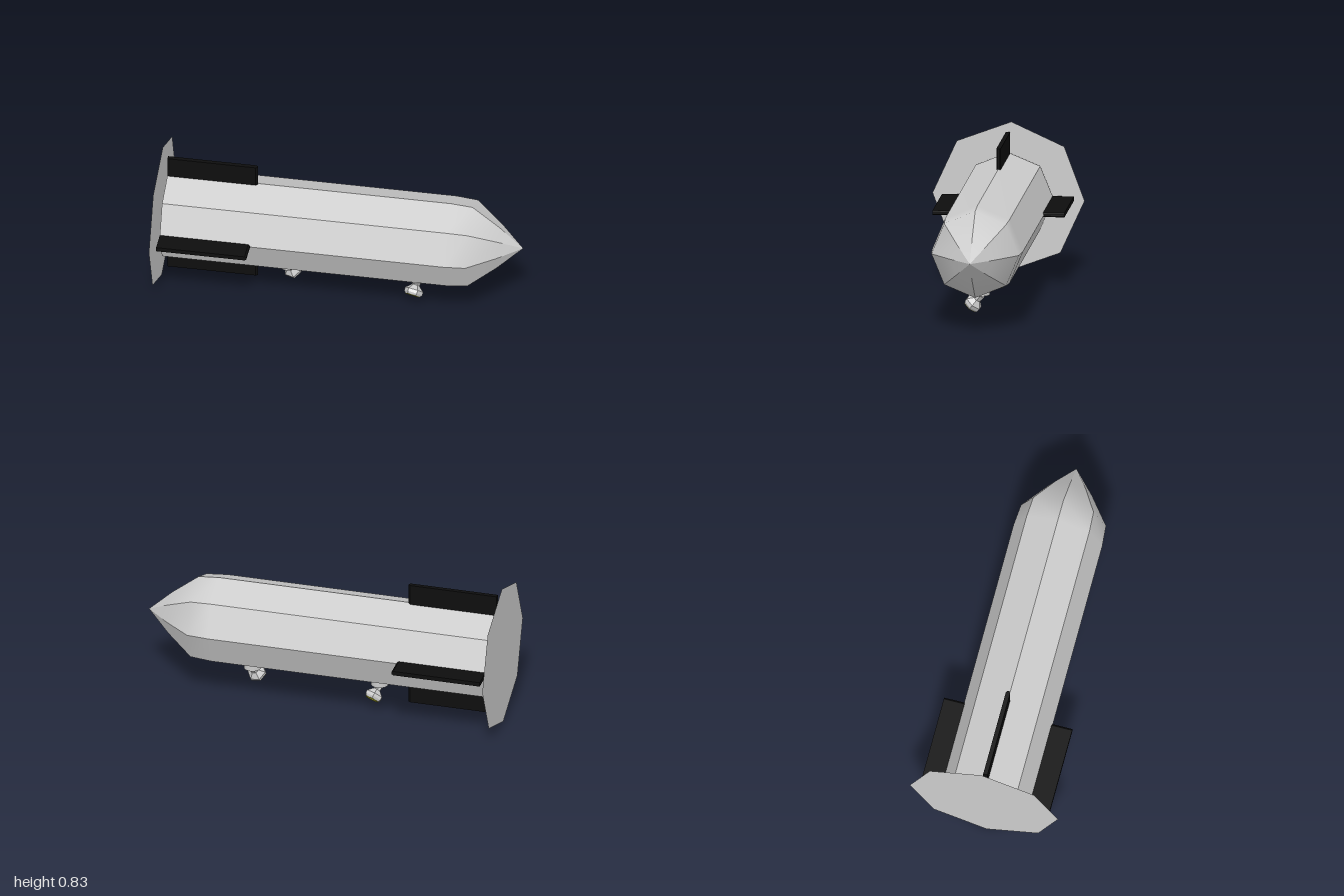
import * as THREE from 'three';

const AXIS_Y = 0.42;

export function createModel() {
  const model = new THREE.Group();
  const hull = new THREE.MeshStandardMaterial({ color: 0xcccccc, side: THREE.DoubleSide });
  hull.name = 'hullGrey';
  const hullFlat = hull.clone();
  hullFlat.flatShading = true;
  const black = new THREE.MeshStandardMaterial({ color: 0x0d0d0d, flatShading: true });
  black.name = 'finBlack';
  const yellow = new THREE.MeshStandardMaterial({ color: 0xbcbc28, side: THREE.DoubleSide });
  yellow.name = 'lampYellow';

  const add = (parent, name, geometry, material) => {
    const mesh = new THREE.Mesh(geometry, material);
    mesh.name = name;
    parent.add(mesh);
    return mesh;
  };

  // Eight hull panels: smooth along the length, creased between panels
  const profile = [[-0.97, 0.25], [0.6, 0.25], [0.72, 0.24], [0.87, 0.122], [1, 0.0005]];
  const body = new THREE.Group();
  body.name = 'body';
  body.position.y = AXIS_Y;
  model.add(body);
  for (let i = 0; i < 8; i++) {
    const positions = [], index = [];
    profile.forEach(([x, r], row) => {
      for (const k of [i, i + 1]) {
        const a = k * Math.PI / 4;
        positions.push(x, r * Math.cos(a), r * Math.sin(a));
      }
      if (row > 0) {
        const b = row * 2;
        index.push(b - 2, b, b - 1, b - 1, b, b + 1);
      }
    });
    const g = new THREE.BufferGeometry();
    g.setAttribute('position', new THREE.Float32BufferAttribute(positions, 3));
    // Wind the faces so that they look outward
    for (let t = 0; t < index.length; t += 3) [index[t + 1], index[t + 2]] = [index[t + 2], index[t + 1]];
    g.setIndex(index);
    g.computeVertexNormals();
    const n = g.attributes.normal, mid = (i + 0.5) * Math.PI / 4;
    if (n.getY(0) * Math.cos(mid) + n.getZ(0) * Math.sin(mid) < 0) {
      g.setIndex(index.reverse());
      g.computeVertexNormals();
    }
    add(body, 'hullPanel', g, hull);
  }

  // Rear cap of the hull, with a corner at the top
  const cap = add(body, 'rearCap', new THREE.CircleGeometry(0.25, 8), hullFlat);
  cap.rotation.y = -Math.PI / 2;
  cap.position.x = -0.97;

  // Thin octagonal tail plate, turned slightly
  const plate = add(model, 'tailPlate',
    new THREE.CircleGeometry(0.4175, 8, Math.PI / 2 + 0.036).rotateY(-Math.PI / 2), hullFlat);
  plate.position.set(-1, 0.4175, 0);

  // Two crossing fin plates with chamfered leading edges
  const section = new THREE.Shape([[-0.97, -0.012], [-0.48, -0.012], [-0.47, -0.005],
    [-0.47, 0.005], [-0.48, 0.012], [-0.97, 0.012]].map(([x, y]) => new THREE.Vector2(x, y)));
  const finGeometry = new THREE.ExtrudeGeometry(section, { depth: 0.724, bevelEnabled: false });
  finGeometry.translate(0, 0, -0.362);
  for (const [name, turn] of [['sideFins', 0], ['verticalFins', Math.PI / 2]]) {
    const fin = add(model, name, finGeometry, black);
    fin.position.y = AXIS_Y;
    fin.rotation.x = turn;
  }

  // Swivelling searchlights under the hull
  const lampProfile = [[0, 0], [0.025, 0], [0.022, 0.035], [0.052, 0.062], [0.052, 0.08], [0.043, 0.092], [0, 0.092]]
    .map(([r, y]) => new THREE.Vector2(r, y));
  const addLamp = (name, x, direction) => {
    const lamp = new THREE.Group();
    lamp.name = name;
    lamp.position.set(x, 0.14, 0);
    model.add(lamp);
    const mount = add(lamp, 'lampMount', new THREE.CylinderGeometry(0.048, 0.048, 0.045, 16), hull);
    mount.position.y = 0.0225;
    const head = new THREE.Group();
    head.name = 'lampHead';
    head.quaternion.setFromUnitVectors(new THREE.Vector3(0, 1, 0), direction.normalize());
    lamp.add(head);
    add(head, 'lampHousing', new THREE.LatheGeometry(lampProfile, 6), hullFlat);
    const lens = add(head, 'lampLens', new THREE.CylinderGeometry(0.043, 0.043, 0.003, 6), yellow);
    lens.position.y = 0.0925;
  };
  addLamp('frontLamp', 0.415, new THREE.Vector3(-0.25, -1, 0.85));
  addLamp('rearLamp', -0.305, new THREE.Vector3(0.42, -1, -0.85));

  return model;
}
